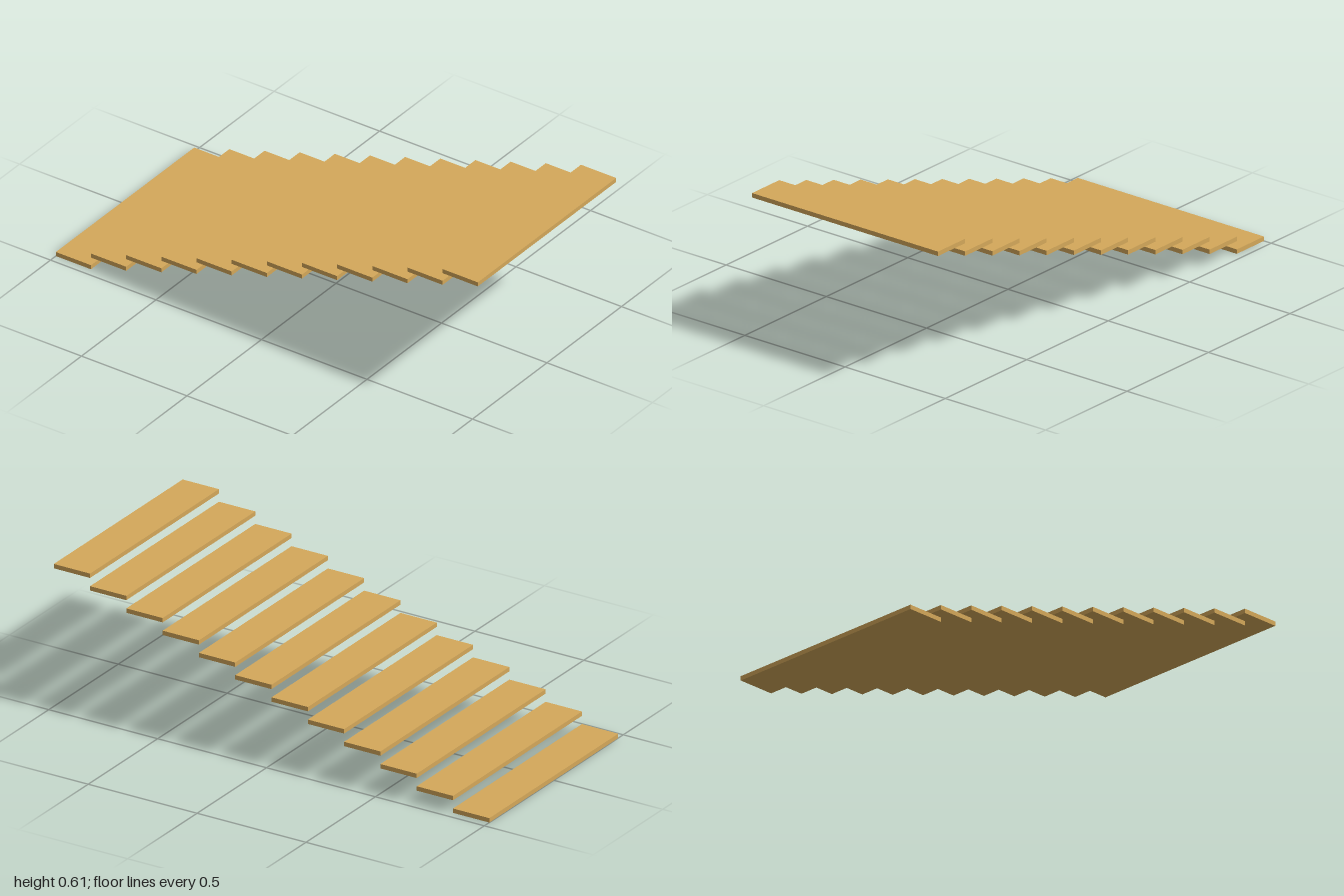
import * as THREE from 'three';

const STEPS = 12;
const WIDTH = 2 / STEPS;
const THICKNESS = 0.0186;
const DEPTH = 0.928;
const RISE = 0.0535;

export function createModel() {
  const group = new THREE.Group();
  group.name = 'floatingStaircase';

  const wood = new THREE.MeshStandardMaterial({ color: 0xd4a85a });
  const treadGeometry = new THREE.BoxGeometry(WIDTH, THICKNESS, DEPTH);

  // Flat treads climbing towards +x, edge to edge in plan
  for (let i = 0; i < STEPS; i++) {
    const tread = new THREE.Mesh(treadGeometry, wood);
    tread.name = `tread${i + 1}`;
    tread.position.set(-1 + WIDTH * (i + 0.5), THICKNESS / 2 + RISE * i, 0);
    group.add(tread);
  }
  return group;
}
